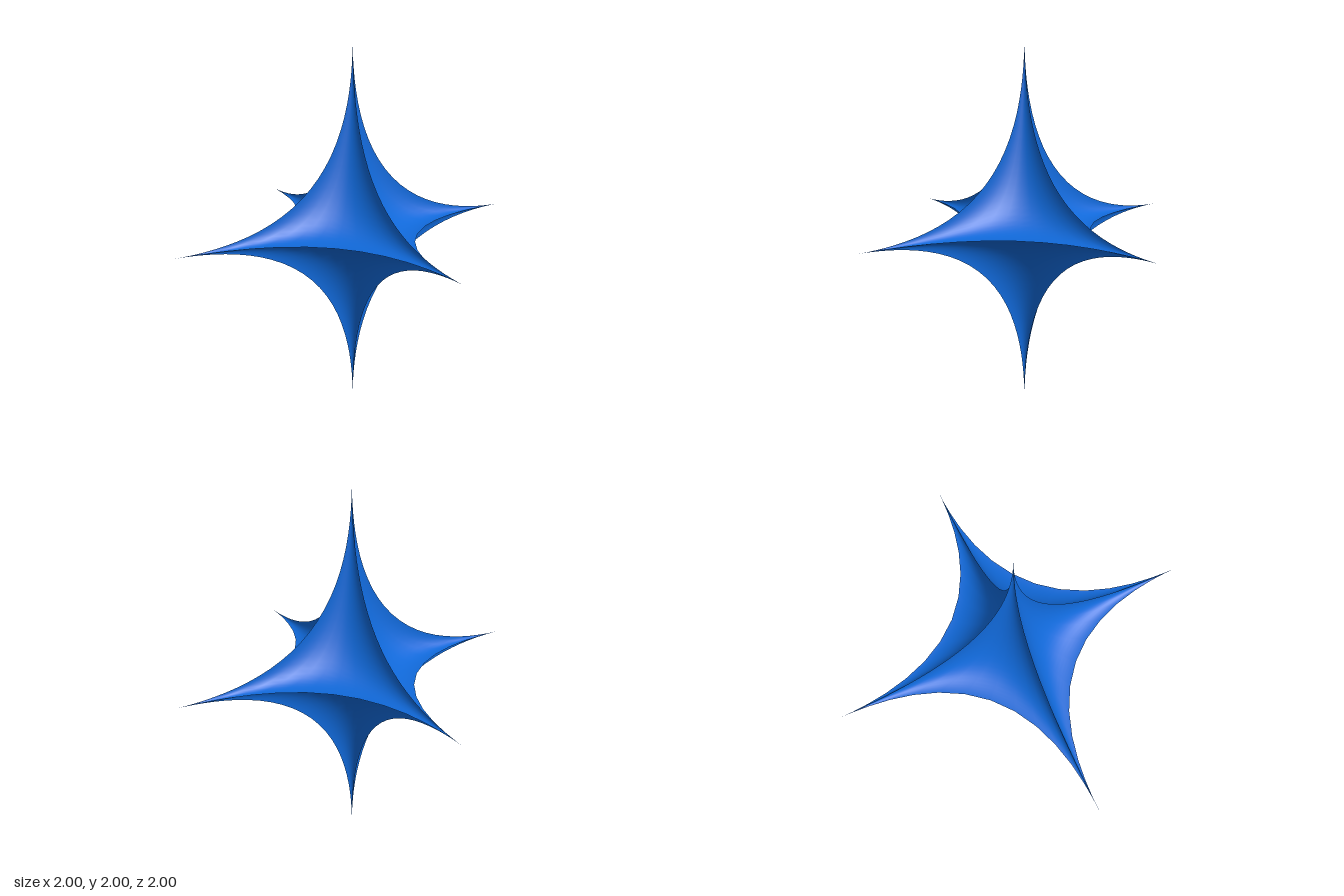
import * as THREE from 'three';

const LON = 16; // steps around, per quarter turn
const LAT = 32; // steps from the equator to a pole

// One concave eighth of the star: sqrt|x| + sqrt|y| + sqrt|z| = 1
function octantGeometry(sx, sy, sz) {
  const positions = [], normals = [], index = [];
  const flip = sx * sy * sz < 0;
  const n = new THREE.Vector3();
  for (let j = 0; j <= LAT; j++) {
    const v = (j / LAT) * Math.PI / 2;
    for (let i = 0; i <= LON; i++) {
      const u = (i / LON) * Math.PI / 2;
      // square roots of the three coordinates
      const a = (Math.cos(u) * Math.cos(v)) ** 2;
      const b = Math.sin(v) ** 2;
      const c = (Math.sin(u) * Math.cos(v)) ** 2;
      positions.push(sx * a * a, sy * b * b, sz * c * c);
      // surface gradient, kept non-zero at the tips
      const [p, q, r] = [a, b, c].map((t) => Math.max(t, 1e-3));
      n.set(sx * q * r, sy * p * r, sz * p * q).normalize();
      normals.push(n.x, n.y, n.z);
      if (i < LON && j < LAT) {
        const k = j * (LON + 1) + i, up = k + LON + 1;
        if (flip) index.push(k, k + 1, up, k + 1, up + 1, up);
        else index.push(k, up, k + 1, k + 1, up, up + 1);
      }
    }
  }
  const geometry = new THREE.BufferGeometry();
  geometry.setAttribute('position', new THREE.Float32BufferAttribute(positions, 3));
  geometry.setAttribute('normal', new THREE.Float32BufferAttribute(normals, 3));
  geometry.setIndex(index);
  return geometry;
}

export function createModel() {
  const group = new THREE.Group();
  group.name = 'sixPointedStar';
  const material = new THREE.MeshStandardMaterial({ color: 0x1068d8 });

  // Mirror the face into all eight octants, leaving sharp ridges between them
  for (const sy of [1, -1]) for (const sz of [1, -1]) for (const sx of [1, -1]) {
    const face = new THREE.Mesh(octantGeometry(sx, sy, sz), material);
    face.name = (sy > 0 ? 'upper' : 'lower') + (sz > 0 ? 'Front' : 'Back') + (sx > 0 ? 'Left' : 'Right') + 'Face';
    face.position.y = 1;
    group.add(face);
  }
  return group;
}
